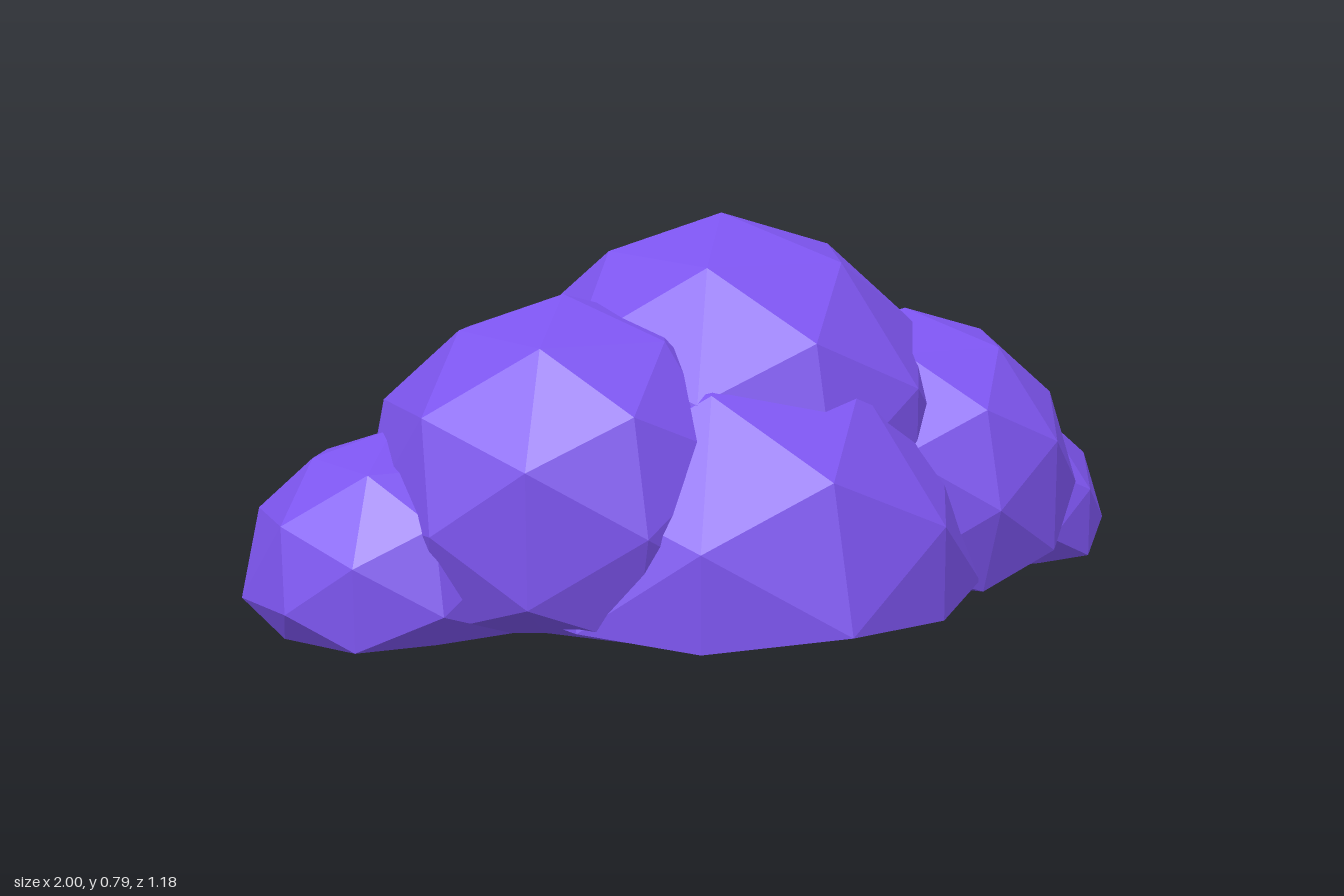
import * as THREE from 'three';

// Faceted ball whose underside is pressed flat onto the ground
function puffGeometry(radius, x, y, z) {
  const geometry = new THREE.IcosahedronGeometry(radius, 1);
  geometry.translate(x, y, z);
  const pos = geometry.attributes.position;
  for (let i = 0; i < pos.count; i++) pos.setY(i, Math.max(0, pos.getY(i)));
  geometry.computeVertexNormals();
  return geometry;
}

export function createModel() {
  const group = new THREE.Group();
  group.name = 'cloud';
  const material = new THREE.MeshStandardMaterial({ color: 0x7c54ee, flatShading: true });

  // name, radius, centre x, y, z
  const puffs = [
    ['mainPuff', 0.5, 0.055, 0.285, -0.09],
    ['frontPuff', 0.535, -0.003, 0.025, 0.055],
    ['backPuff', 0.35, -0.195, 0, -0.205],
    ['rightPuff', 0.42, -0.35, 0.215, 0.01],
    ['leftPuff', 0.385, 0.46, 0.185, 0.01],
    ['outerRightPuff', 0.31, -0.69, 0.065, -0.055],
    ['outerLeftPuff', 0.285, 0.715, 0.065, -0.055],
  ];
  for (const [name, radius, x, y, z] of puffs) {
    const mesh = new THREE.Mesh(puffGeometry(radius, x, y, z), material);
    mesh.name = name;
    group.add(mesh);
  }
  return group;
}
